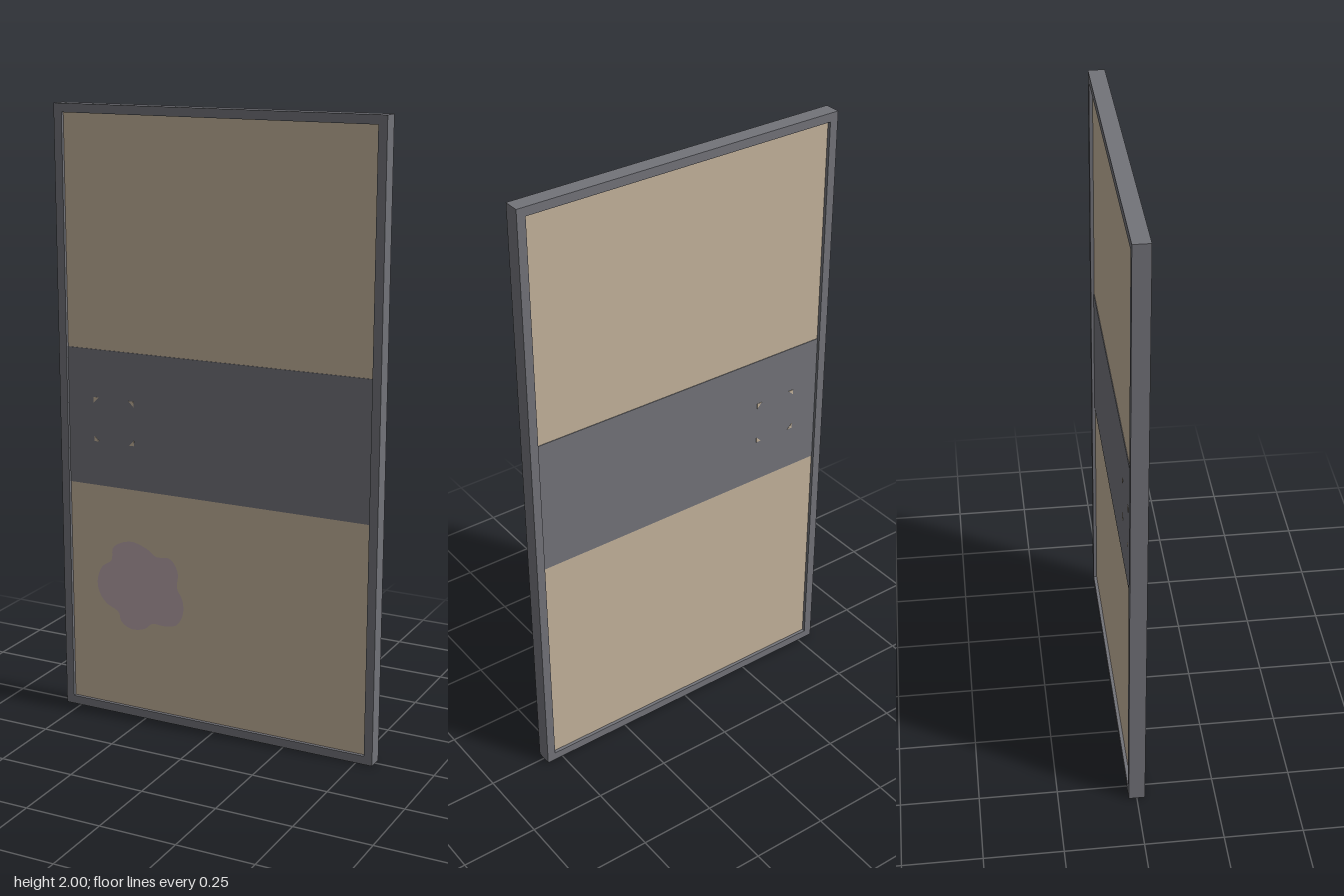
import * as THREE from 'three';

const W = 1.11, H = 2, D = 0.052, RIM = 0.028;

function mat(name, color) {
  const m = new THREE.MeshStandardMaterial({ color });
  m.name = name;
  return m;
}

export function createModel() {
  const group = new THREE.Group();
  const frameGrey = mat('frame grey', 0x727379);
  const paperTan = mat('paper tan', 0xc3b29b);
  const stainMauve = mat('stain mauve', 0xb8a4a9);

  const add = (name, geo, material, x = 0, y = 0, z = 0) => {
    const mesh = new THREE.Mesh(geo, material);
    mesh.name = name;
    mesh.position.set(x, y, z);
    group.add(mesh);
    return mesh;
  };

  // Outer frame with one large rectangular opening
  const rect = (P, x, y0, y1) =>
    new P([[-x, y0], [x, y0], [x, y1], [-x, y1]].map(p => new THREE.Vector2(...p)));
  const outline = rect(THREE.Shape, W / 2, 0, H);
  outline.holes.push(rect(THREE.Path, W / 2 - RIM, RIM, H - RIM));
  add('frame', new THREE.ExtrudeGeometry(outline, { depth: D, bevelEnabled: false }),
    frameGrey, 0, 0, -D / 2);

  // Recessed paper panel
  const innerW = W - 2 * RIM, panelD = 0.03;
  add('panel', new THREE.BoxGeometry(innerW, H - 2 * RIM, panelD), paperTan, 0, H / 2, 0);

  // Middle band, wrapped over both faces
  const bandD = panelD + 0.004;
  add('middleBand', new THREE.BoxGeometry(innerW, 0.45, bandD), frameGrey, 0, 1.005, 0);

  // Small paper corners left around the round hand pull, on both faces
  const chip = new THREE.Shape([[0, 0], [0.018, 0], [0, 0.018]].map(p => new THREE.Vector2(...p)));
  const chipGeo = new THREE.ExtrudeGeometry(chip, { depth: bandD + 0.002, bevelEnabled: false });
  [[-1, -1], [1, -1], [1, 1], [-1, 1]].forEach(([sx, sy], i) => {
    const c = add('pullCorner', chipGeo, paperTan,
      -0.361 + sx * 0.073, 1.0 + sy * 0.073, -(bandD + 0.002) / 2);
    c.rotation.z = i * Math.PI / 2;
  });

  // Lobed stain on the lower front panel
  const blob = [
    [-0.432, 0.45], [-0.413, 0.503], [-0.378, 0.529], [-0.37, 0.575], [-0.307, 0.604],
    [-0.243, 0.587], [-0.212, 0.566], [-0.159, 0.566], [-0.132, 0.524], [-0.135, 0.471],
    [-0.116, 0.434], [-0.114, 0.386], [-0.138, 0.344], [-0.18, 0.333], [-0.228, 0.333],
    [-0.254, 0.312], [-0.307, 0.302], [-0.344, 0.323], [-0.354, 0.354], [-0.397, 0.376],
    [-0.423, 0.407],
  ].map(([x, y]) => new THREE.Vector3(x, y, 0));
  const edge = new THREE.CatmullRomCurve3(blob, true).getPoints(80)
    .map(p => new THREE.Vector2(p.x, p.y));
  add('stain', new THREE.ShapeGeometry(new THREE.Shape(edge)), stainMauve,
    0, 0, panelD / 2 + 0.002);

  return group;
}
